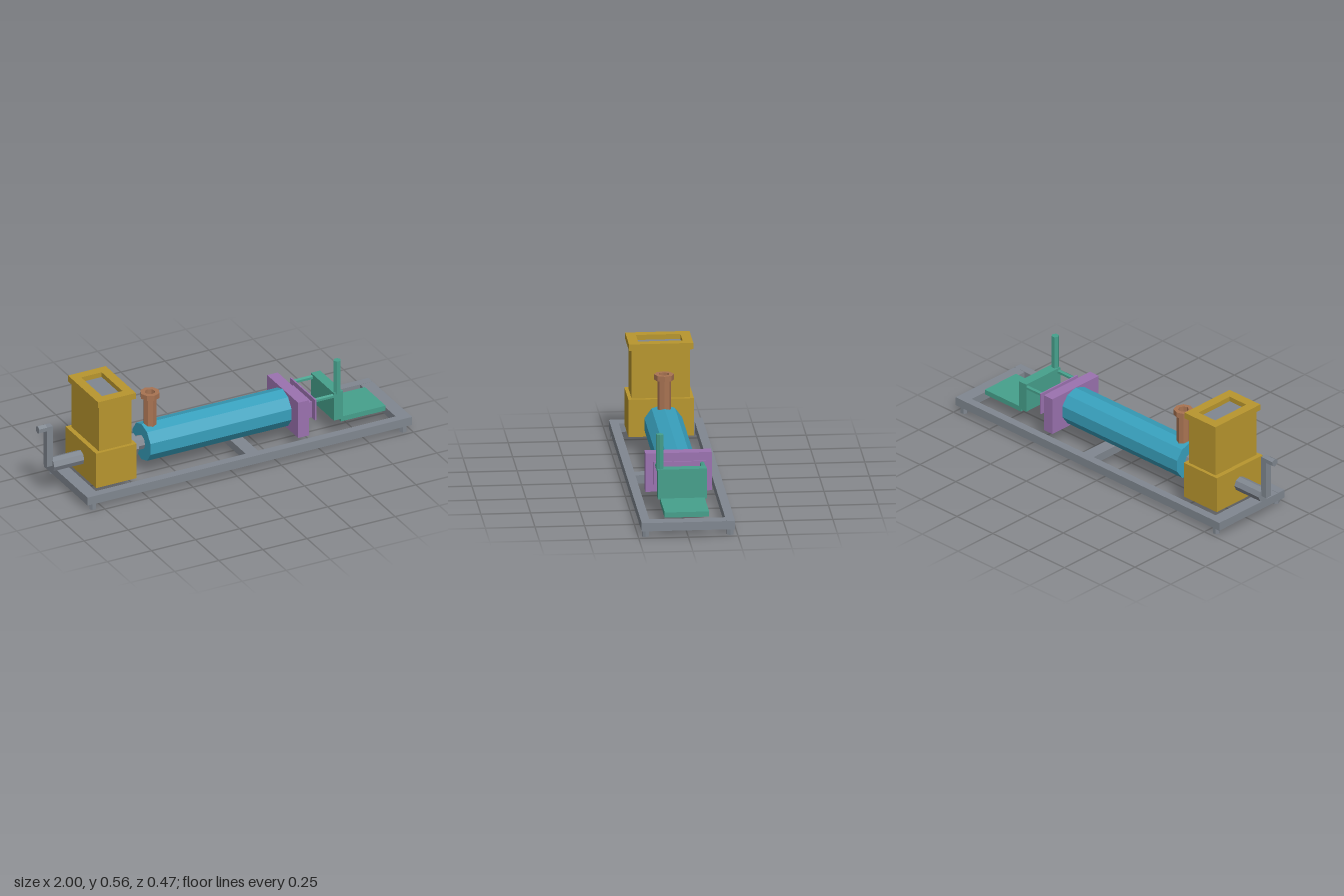
import * as THREE from 'three';

const paint = (color) => new THREE.MeshStandardMaterial({ color, flatShading: true });
const steel = paint(0x808790), gold = paint(0xb8962e), blue = paint(0x38a0bd);
const purple = paint(0x9b72b0), green = paint(0x46a08c), copper = paint(0xa87352);

export function createModel() {
  const model = new THREE.Group();
  model.name = 'screwPress';

  const add = (name, geometry, material) => {
    const mesh = new THREE.Mesh(geometry, material);
    mesh.name = name;
    model.add(mesh);
    return mesh;
  };
  // box given by its limits on each axis
  const box = (name, material, [x0, x1], [y0, y1], [z0, z1]) =>
    add(name, new THREE.BoxGeometry(x1 - x0, y1 - y0, z1 - z0), material)
      .position.set((x0 + x1) / 2, (y0 + y1) / 2, (z0 + z1) / 2);
  // upright prism and prism lying along x
  const post = (name, material, r, sides, x, [y0, y1], z) =>
    add(name, new THREE.CylinderGeometry(r, r, y1 - y0, sides, 1, false, Math.PI / 2), material)
      .position.set(x, (y0 + y1) / 2, z);
  const bar = (name, material, r, sides, [x0, x1], y, z = 0) => {
    const mesh = add(name, new THREE.CylinderGeometry(r, r, x1 - x0, sides, 1, false, Math.PI / 2), material);
    mesh.rotation.z = -Math.PI / 2;
    mesh.position.set((x0 + x1) / 2, y, z);
  };

  // base frame with feet
  for (const s of [-1, 1]) {
    box('frameRail', steel, [-0.84, 1], [0.035, 0.08], [s * 0.213 - 0.022, s * 0.213 + 0.022]);
    for (const x of [-0.8, 0.96]) post('foot', steel, 0.019, 6, x, [0, 0.036], s * 0.213);
  }
  for (const [x0, x1] of [[-0.84, -0.77], [0.08, 0.15], [0.93, 1]])
    box('frameCrossbar', steel, [x0, x1], [0.036, 0.079], [-0.192, 0.192]);

  // feed hopper with a framed opening
  box('hopperBase', gold, [-0.755, -0.525], [0.08, 0.275], [-0.165, 0.165]);
  box('hopperBody', gold, [-0.73, -0.545], [0.275, 0.53], [-0.147, 0.147]);
  const rim = new THREE.Shape([[-0.107, -0.162], [0.107, -0.162], [0.107, 0.162], [-0.107, 0.162]]
    .map(([x, y]) => new THREE.Vector2(x, y)));
  rim.holes.push(new THREE.Path([[-0.058, -0.112], [-0.058, 0.112], [0.058, 0.112], [0.058, -0.112]]
    .map(([x, y]) => new THREE.Vector2(x, y))));
  const rimMesh = add('hopperRim', new THREE.ExtrudeGeometry(rim, { depth: 0.033, bevelEnabled: false }), gold);
  rimMesh.rotation.x = -Math.PI / 2;
  rimMesh.position.set(-0.635, 0.53, 0);
  box('hopperFloor', steel, [-0.693, -0.577], [0.525, 0.537], [-0.112, 0.112]);

  // drive shaft, collar and crank
  bar('shaftOuter', steel, 0.038, 8, [-0.925, -0.755], 0.18);
  bar('shaftInner', steel, 0.038, 8, [-0.525, -0.41], 0.18);
  bar('shaftCollar', steel, 0.06, 8, [-0.485, -0.455], 0.18);
  box('crankArm', steel, [-0.957, -0.922], [0.18, 0.405], [-0.018, 0.018]);
  bar('crankGrip', steel, 0.021, 6, [-1, -0.955], 0.394);

  // barrel and its hollow vent pipe
  bar('barrel', blue, 0.1, 10, [-0.41, 0.39], 0.18);
  const pipe = [[0.034, 0.25], [0.034, 0.425], [0.05, 0.425], [0.05, 0.453], [0.027, 0.453], [0.027, 0.25]]
    .map(([r, y]) => new THREE.Vector2(r, y));
  add('ventPipe', new THREE.LatheGeometry(pipe, 8), copper).position.x = -0.363;

  // outlet head
  box('headBlock', purple, [0.39, 0.45], [0.08, 0.28], [-0.167, 0.167]);
  box('die', purple, [0.45, 0.507], [0.138, 0.226], [-0.1, 0.1]);
  box('diePlate', purple, [0.503, 0.511], [0.136, 0.252], [-0.133, 0.133]);

  // cutter on guide rods, with lever and outlet tray
  for (const s of [-1, 1]) bar('guideRod', green, 0.012, 6, [0.508, 0.62], 0.238, s * 0.113);
  box('cutterBlock', green, [0.615, 0.667], [0.102, 0.258], [-0.123, 0.123]);
  post('cutterLever', green, 0.02, 6, 0.64, [0.25, 0.436], 0.112);
  box('outletTray', green, [0.662, 0.915], [0.08, 0.107], [-0.112, 0.112]);

  return model;
}
